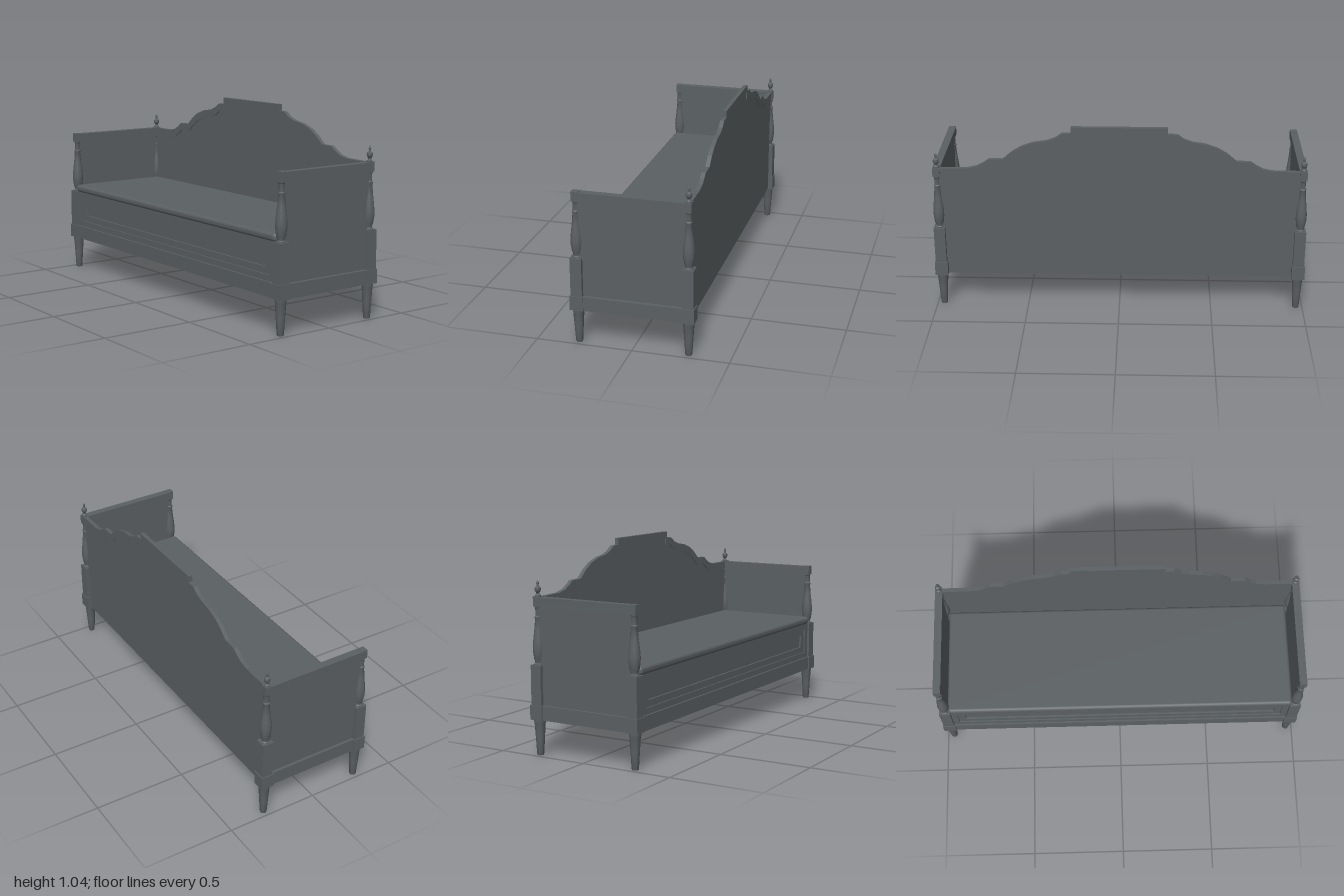
import * as THREE from 'three';
import { toCreasedNormals } from 'three/addons/utils/BufferGeometryUtils.js';
import { RoundedBoxGeometry } from 'three/addons/geometries/RoundedBoxGeometry.js';

const POST_X = 0.965, POST_Z = 0.285;

export function createModel() {
  const paint = new THREE.MeshStandardMaterial({ color: 0x5b6063 });
  paint.name = 'slate grey paint';
  const root = new THREE.Group();
  root.name = 'daybed';

  const add = (name, geo, x = 0, y = 0, z = 0, parent = root) => {
    const m = new THREE.Mesh(geo, paint);
    m.name = name;
    m.position.set(x, y, z);
    parent.add(m);
    return m;
  };
  // box given by its min and max on each axis
  const box = (name, x0, x1, y0, y1, z0, z1, parent = root) =>
    add(name, new THREE.BoxGeometry(x1 - x0, y1 - y0, z1 - z0),
      (x0 + x1) / 2, (y0 + y1) / 2, (z0 + z1) / 2, parent);
  const turned = (pts) => toCreasedNormals(
    new THREE.LatheGeometry(pts.map(([r, y]) => new THREE.Vector2(r, y)), 20), 0.6);
  const extrude = (shape, depth) =>
    new THREE.ExtrudeGeometry(shape, { depth, bevelEnabled: false });

  // Turned profiles: radius, height
  const leg = turned([[0, 0], [0.016, 0], [0.018, 0.006], [0.023, 0.09], [0.028, 0.165],
    [0.03, 0.172], [0.03, 0.185], [0, 0.185]]);
  const spindle = turned([[0.024, 0.463], [0.024, 0.47], [0.019, 0.474], [0.019, 0.481],
    [0.024, 0.495], [0.029, 0.53], [0.03, 0.555], [0.027, 0.59], [0.021, 0.64], [0.016, 0.695],
    [0.018, 0.7], [0.018, 0.708], [0.014, 0.712], [0.014, 0.75], [0.017, 0.755], [0.017, 0.765]]);
  const finial = turned([[0.015, 0.805], [0.015, 0.816], [0.008, 0.822], [0.008, 0.828],
    [0.014, 0.836], [0.016, 0.846], [0.014, 0.856], [0.006, 0.862], [0.005, 0.87],
    [0.007, 0.876], [0.005, 0.884], [0, 0.892]]);

  // Four corner posts
  for (const sx of [-1, 1]) for (const sz of [-1, 1]) {
    const post = new THREE.Group();
    post.name = (sz > 0 ? 'front' : 'back') + (sx > 0 ? 'Left' : 'Right') + 'Post';
    post.position.set(sx * POST_X, 0, sz * POST_Z);
    root.add(post);
    add('leg', leg, 0, 0, 0, post);
    box('cornerBlock', -0.035, 0.035, 0.185, 0.26, -0.035, 0.035, post);
    box('postBlock', -0.03, 0.03, 0.26, 0.465, -0.03, 0.03, post);
    add('spindle', spindle, 0, 0, 0, post);
    box('postCap', -0.018, 0.018, 0.76, 0.81, -0.018, 0.018, post);
    if (sz < 0) add('finial', finial, 0, 0, 0, post);
  }

  // Side panels, arm rails and lower side rails
  for (const s of [-1, 1]) {
    const side = new THREE.Group();
    side.name = s > 0 ? 'leftSide' : 'rightSide';
    side.position.x = s * POST_X;
    root.add(side);
    box('sidePanel', -0.01, 0.01, 0.25, 0.77, -0.285, 0.285, side);
    box('armRail', -0.02, 0.02, 0.762, 0.808, -0.3, 0.302, side);
    box('lowerSideRail', -0.025, 0.03, 0.185, 0.26, -0.26, 0.26, side);
  }

  // Lower front rail and the base under the seat
  box('lowerFrontRail', -0.94, 0.94, 0.185, 0.26, 0.275, 0.313);
  box('base', -0.95, 0.95, 0.235, 0.25, -0.285, 0.29);

  // Front apron: stepped frames around a sunken field
  const frame = (w, h, iw, ih) => {
    const rect = (T, a, b) => {
      const p = new T();
      p.moveTo(-a, -b); p.lineTo(a, -b); p.lineTo(a, b); p.lineTo(-a, b); p.closePath();
      return p;
    };
    const shape = rect(THREE.Shape, w, h);
    shape.holes.push(rect(THREE.Path, iw, ih));
    return shape;
  };
  add('apronFrame', extrude(frame(0.94, 0.1025, 0.9, 0.07), 0.035), 0, 0.3625, 0.268);
  add('apronMoulding', extrude(frame(0.9, 0.07, 0.86, 0.035), 0.028), 0, 0.3625, 0.268);
  box('apronField', -0.87, 0.87, 0.32, 0.405, 0.268, 0.286);

  // Seat cushion, gently crowned
  const cushion = new RoundedBoxGeometry(1.89, 0.044, 0.59, 4, 0.018);
  add('seatCushion', cushion, 0, 0.483, 0.015);
  box('seatBox', -0.94, 0.94, 0.25, 0.464, -0.28, 0.268);

  // Shaped backrest: mirrored crest line
  const half = [[0.252, 1.045], [0.252, 1.01], [0.3, 1.008], [0.335, 0.983], [0.38, 0.967],
    [0.45, 0.956], [0.51, 0.935], [0.56, 0.905], [0.61, 0.862], [0.685, 0.86], [0.715, 0.838],
    [0.75, 0.82], [0.8, 0.809], [0.955, 0.807]];
  const crest = [...half.map(([x, y]) => [-x, y]).reverse(), ...half];
  const outline = (top, bottom) => {
    const pts = [...top, ...bottom].map(([x, y]) => new THREE.Vector2(x, y));
    return new THREE.Shape(pts);
  };
  // the trim follows the crest a little lower and slightly narrower at the steps
  const lower = crest.map(([x, y]) =>
    [Math.abs(x) < 0.9 ? x - Math.sign(x) * 0.012 : x, y - 0.04]);
  add('backPanel', extrude(outline(crest.map(([x, y]) => [x, y - 0.01]),
    [[0.955, 0.187], [-0.955, 0.187]]), 0.012), 0, 0, -0.291);
  add('crestTrim', extrude(outline(crest, [...lower].reverse()), 0.022), 0, 0, -0.296);

  return root;
}
